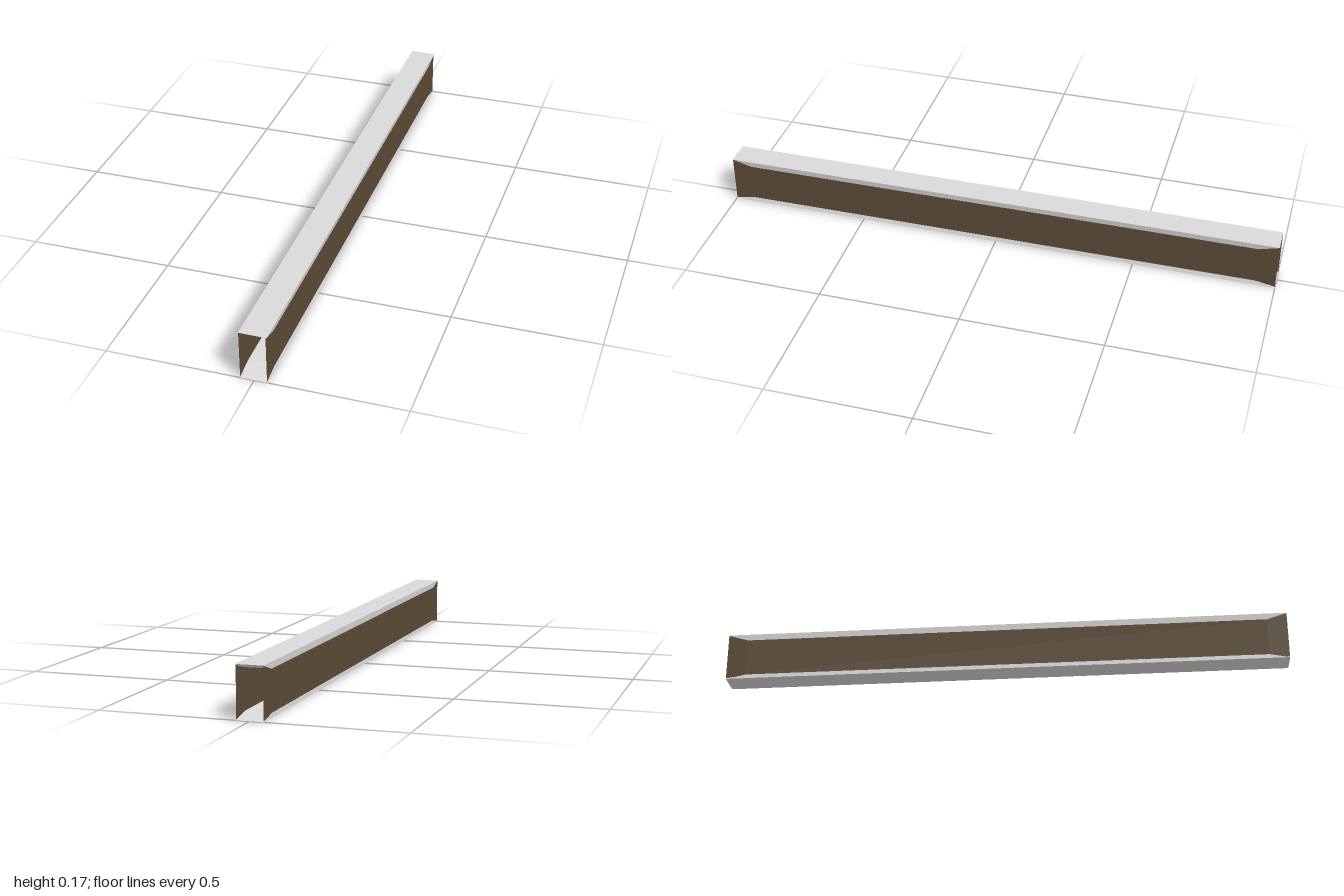
import * as THREE from 'three';

const H = 0.172;

// Slab with a wide outer face and an inner face drawn in at the ends and sides
function slabGeometry(outerY, innerY) {
  const geo = new THREE.BoxGeometry(1, 1, 1);
  const pos = geo.attributes.position;
  const up = outerY > innerY;
  for (let i = 0; i < pos.count; i++) {
    const outer = (pos.getY(i) > 0) === up;
    const right = pos.getX(i) > 0;
    const x = outer ? (right ? 0.046 : -0.047) : (right ? 0.042 : -0.0455);
    pos.setXYZ(i, x, outer ? outerY : innerY, Math.sign(pos.getZ(i)) * (outer ? 1 : 0.93));
  }
  geo.computeVertexNormals();
  return geo;
}

// Thin side sheet that flares to full height at both ends
function panelGeometry() {
  const shape = new THREE.Shape([
    [-1, 0.002], [-0.93, 0.015], [0.93, 0.015], [1, 0.002],
    [1, H - 0.002], [0.93, 0.15], [-0.93, 0.15], [-1, H - 0.002],
  ].map(([z, y]) => new THREE.Vector2(z, y)));
  return new THREE.ShapeGeometry(shape).rotateY(-Math.PI / 2);
}

export function createModel() {
  const group = new THREE.Group();
  group.name = 'hollowBeam';

  const plaster = new THREE.MeshStandardMaterial({ color: 0xd9d9d9 });
  plaster.name = 'light grey';
  plaster.side = THREE.DoubleSide;
  const wood = new THREE.MeshStandardMaterial({ color: 0x5c4a36 });
  wood.name = 'dark brown';
  wood.side = THREE.DoubleSide;

  const add = (name, geo, mat, x = 0) => {
    const mesh = new THREE.Mesh(geo, mat);
    mesh.name = name;
    mesh.position.x = x;
    group.add(mesh);
  };

  // Top and bottom slabs
  add('topSlab', slabGeometry(H, 0.15), plaster);
  add('bottomSlab', slabGeometry(0, 0.015), plaster);

  // Side panels, leaving both ends open
  add('leftPanel', panelGeometry(), wood, 0.0425);
  add('rightPanel', panelGeometry(), wood, -0.0458);

  return group;
}
